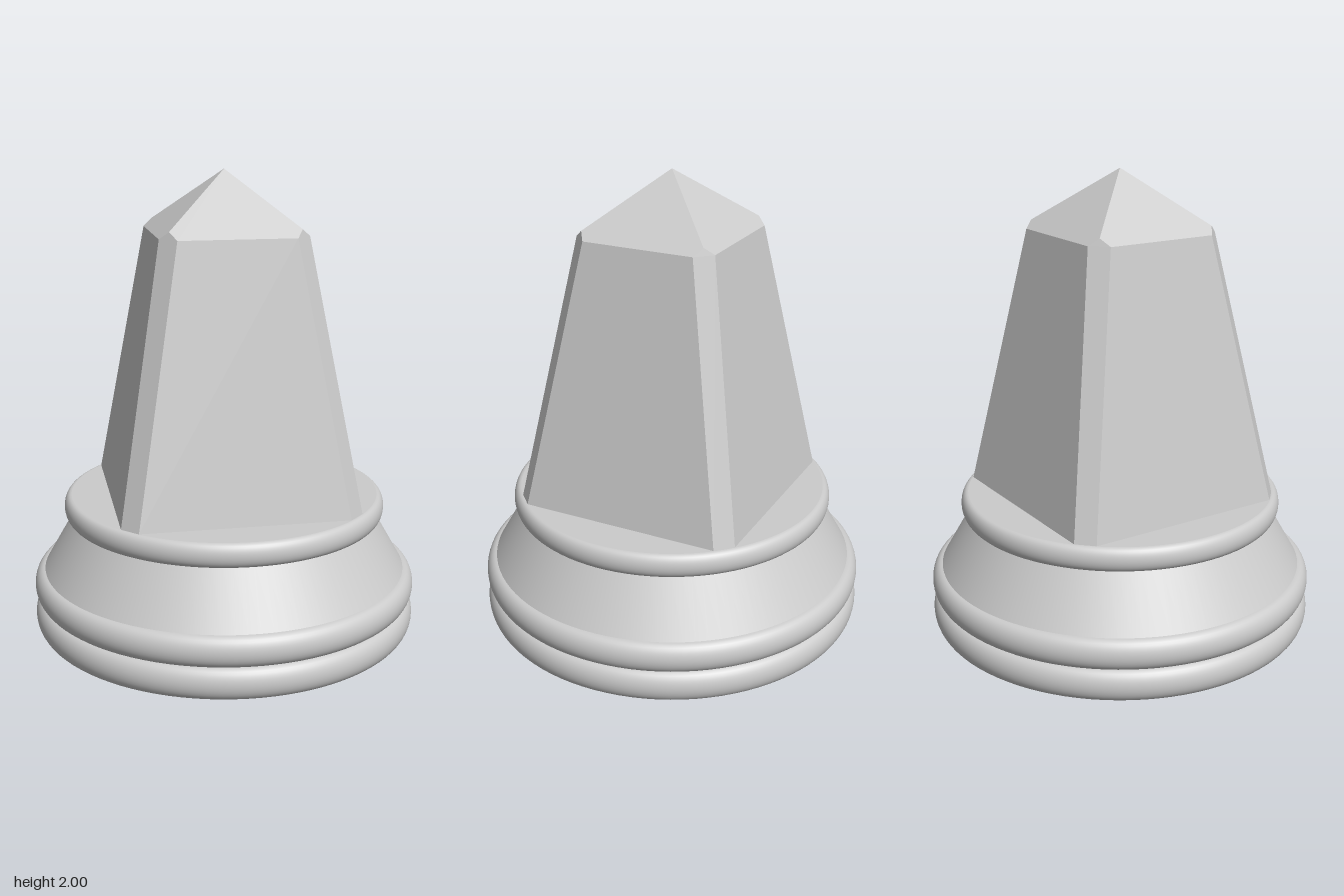
import * as THREE from 'three';
import { ConvexGeometry } from 'three/addons/geometries/ConvexGeometry.js';

export function createModel() {
  const model = new THREE.Group();
  const smooth = new THREE.MeshStandardMaterial({ color: 0xcccccc });
  const faceted = new THREE.MeshStandardMaterial({ color: 0xcccccc, flatShading: true });

  function add(name, geometry, material) {
    const mesh = new THREE.Mesh(geometry, material);
    mesh.name = name;
    model.add(mesh);
  }

  // Turned surface from [radius, y] pairs listed bottom to top
  function turned(name, profile) {
    const points = profile.map(([r, y]) => new THREE.Vector2(r, y));
    add(name, new THREE.LatheGeometry(points, 96), smooth);
  }

  // Half-round moulding between two heights
  function roll(name, radius, bulge, y0, y1) {
    const profile = [];
    for (let i = 0; i <= 16; i++) {
      const a = (i / 16 - 0.5) * Math.PI;
      profile.push([radius + bulge * Math.cos(a), (y0 + y1) / 2 + (y1 - y0) / 2 * Math.sin(a)]);
    }
    turned(name, profile);
  }

  // Round pedestal
  turned('pedestalUnderside', [[0, 0], [0.797, 0]]);
  roll('lowerRoll', 0.797, 0.045, 0, 0.137);
  roll('upperRoll', 0.797, 0.045, 0.137, 0.27);
  turned('taperedDrum', [[0.797, 0.27], [0.665, 0.5]]);
  turned('collarUnderside', [[0.66, 0.5], [0.675, 0.5]]);
  roll('collarRoll', 0.672, 0.031, 0.5, 0.603);
  turned('pedestalTop', [[0.672, 0.603], [0, 0.603]]);

  // Tapered shaft with chamfered corners and a pyramid point
  const y0 = 0.603, y1 = 1.742, peak = 2;
  const low = { half: 0.505, flat: 0.44 };
  const high = { half: 0.31, flat: 0.245 };

  // Where each chamfer meets the hip of the pyramid
  const hipSlope = (peak - y1) / high.half;
  const highSum = high.half + high.flat;
  const chamferSlope = (low.half + low.flat - highSum) / (y1 - y0);
  const hip = (highSum - chamferSlope * (peak - y1)) / (2 - chamferSlope * hipSlope);

  const points = [new THREE.Vector3(0, peak, 0)];
  for (const sx of [-1, 1]) {
    for (const sz of [-1, 1]) {
      for (const [ring, y] of [[low, y0], [high, y1]]) {
        points.push(new THREE.Vector3(sx * ring.half, y, sz * ring.flat));
        points.push(new THREE.Vector3(sx * ring.flat, y, sz * ring.half));
      }
      points.push(new THREE.Vector3(sx * hip, peak - hipSlope * hip, sz * hip));
    }
  }
  add('obeliskShaft', new ConvexGeometry(points), faceted);

  return model;
}
